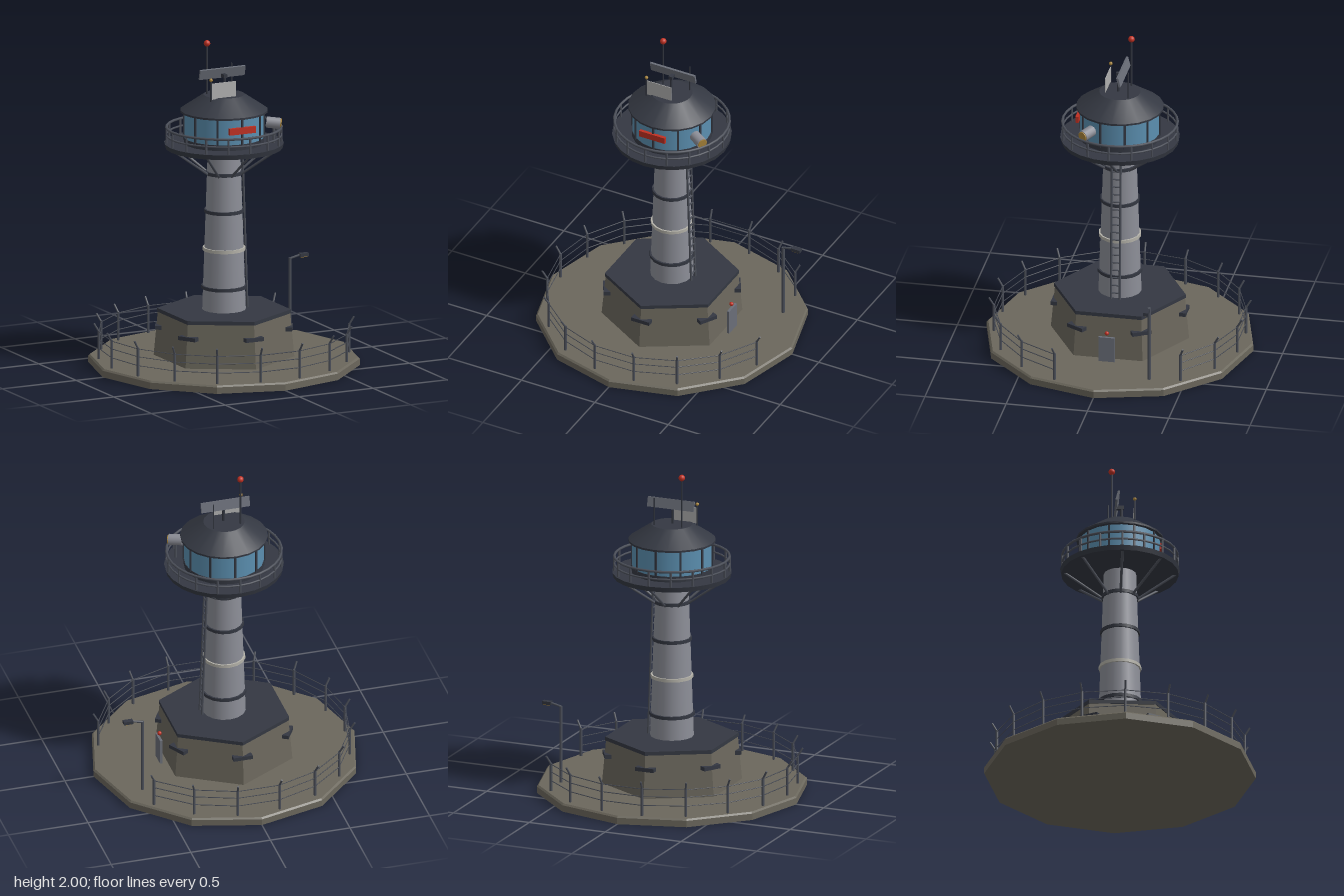
import * as THREE from 'three';

const mat = (color, extra = {}) => new THREE.MeshStandardMaterial({ color, ...extra });
const M = {
  concrete: mat(0x6b675c, { flatShading: true }),
  dark: mat(0x343842), darkFlat: mat(0x343842, { flatShading: true }),
  metal: mat(0x4c505a), tower: mat(0x8c8e97), light: mat(0xb5b3aa),
  door: mat(0x6a6e78), glass: mat(0x5b8fb0), red: mat(0xc03022),
  gold: mat(0xa8843a), panel: mat(0xb0b0b0, { side: THREE.DoubleSide }),
};

export function createModel() {
  const root = new THREE.Group();
  root.name = 'watchTower';

  const add = (name, geo, m, x = 0, y = 0, z = 0, parent = root) => {
    const mesh = new THREE.Mesh(geo, m);
    mesh.name = name;
    mesh.position.set(x, y, z);
    parent.add(mesh);
    return mesh;
  };
  const group = (name) => {
    const g = new THREE.Group();
    g.name = name;
    root.add(g);
    return g;
  };
  const box = (w, h, d) => new THREE.BoxGeometry(w, h, d);
  // Upright frustum between two heights
  const drum = (name, rTop, rBottom, y0, y1, sides, m, parent) =>
    add(name, new THREE.CylinderGeometry(rTop, rBottom, y1 - y0, sides), m, 0, (y0 + y1) / 2, 0, parent);
  // Round bar between two points
  const bar = (name, a, b, r, m, parent, sides = 6) => {
    const p = new THREE.Vector3(...a), q = new THREE.Vector3(...b);
    const mesh = add(name, new THREE.CylinderGeometry(r, r, p.distanceTo(q), sides), m, 0, 0, 0, parent);
    mesh.position.addVectors(p, q).multiplyScalar(0.5);
    mesh.quaternion.setFromUnitVectors(new THREE.Vector3(0, 1, 0), q.sub(p).normalize());
    return mesh;
  };
  const polar = (r, angle, y) => [r * Math.cos(angle), y, r * Math.sin(angle)];
  const ring = (name, r, tube, y, m, parent) => {
    add(name, new THREE.TorusGeometry(r, tube, 6, 32), m, 0, y, 0, parent).rotation.x = Math.PI / 2;
  };

  // Ground slab with a small bevel
  drum('groundSlab', 0.82, 0.82, 0, 0.04, 12, M.concrete);
  drum('groundSlabBevel', 0.81, 0.82, 0.04, 0.05, 12, M.concrete);

  // Perimeter fence, open at the entrance side
  const fence = group('fence');
  const step = Math.PI / 9;
  for (let k = 1; k <= 16; k++) {
    const a = k * step;
    bar('fencePost', polar(0.76, a, 0.05), polar(0.76, a, 0.225), 0.008, M.metal, fence);
    bar('fencePostArm', polar(0.76, a, 0.22), polar(0.79, a, 0.27), 0.006, M.metal, fence);
    if (k < 16) for (const y of [0.115, 0.17, 0.218])
      bar('fenceWire', polar(0.76, a, y), polar(0.76, a + step, y), 0.0028, M.metal, fence, 4);
  }

  // Hexagonal bunker with slits on its corners
  const bunker = group('bunker');
  drum('bunkerWalls', 0.4, 0.425, 0.05, 0.32, 6, M.concrete, bunker);
  drum('bunkerRoof', 0.405, 0.405, 0.317, 0.34, 6, M.darkFlat, bunker);
  for (let i = 0; i < 6; i++) {
    const a = i * Math.PI / 3;
    add('slit', box(0.12, 0.024, 0.04), M.dark, 0.395 * Math.sin(a), 0.23, 0.395 * Math.cos(a), bunker)
      .rotation.y = a;
  }

  // Entrance door and its warning lamp
  add('door', box(0.016, 0.16, 0.1), M.door, 0.408, 0.13, 0);
  add('doorLamp', new THREE.SphereGeometry(0.013, 10, 8), M.red, 0.405, 0.235, 0);

  // Tapered shaft with bands
  drum('shaft', 0.098, 0.132, 0.34, 1.34, 16, M.tower);
  for (const [y, r, m] of [[0.48, 0.138, M.dark], [0.715, 0.129, M.light], [0.95, 0.121, M.dark], [1.185, 0.113, M.dark]])
    drum('shaftBand', r, r, y - 0.01, y + 0.01, 16, m);

  // Ladder leaning along the shaft
  const ladder = group('ladder');
  const ladderX = (y) => 0.145 - (y - 0.34) * 0.035;
  for (const z of [-0.027, 0.027])
    bar('ladderRail', [ladderX(0.34), 0.34, z], [ladderX(1.34), 1.34, z], 0.007, M.metal, ladder);
  for (let y = 0.38; y < 1.33; y += 0.05)
    bar('ladderRung', [ladderX(y), y, -0.027], [ladderX(y), y, 0.027], 0.005, M.metal, ladder);

  // Gallery deck, struts and railing
  const gallery = group('gallery');
  drum('galleryDeck', 0.362, 0.355, 1.34, 1.37, 24, M.dark, gallery);
  for (let i = 0; i < 8; i++) {
    const a = i * Math.PI / 4;
    bar('galleryStrut', polar(0.1, a, 1.175), polar(0.335, a, 1.345), 0.008, M.metal, gallery);
  }
  for (let i = 0; i < 16; i++) {
    const a = i * Math.PI / 8;
    bar('railingPost', polar(0.348, a, 1.36), polar(0.348, a, 1.465), 0.007, M.metal, gallery);
  }
  ring('railingTop', 0.348, 0.008, 1.465, M.metal, gallery);
  ring('railingMiddle', 0.348, 0.006, 1.418, M.metal, gallery);

  // Glazed cabin and roof
  const cabin = group('cabin');
  drum('cabinSill', 0.245, 0.245, 1.37, 1.405, 20, M.dark, cabin);
  drum('cabinGlass', 0.242, 0.242, 1.4, 1.575, 20, M.glass, cabin);
  for (let i = 0; i < 10; i++) {
    const a = i * Math.PI / 5;
    add('mullion', box(0.012, 0.18, 0.014), M.dark, 0.242 * Math.sin(a), 1.485, 0.242 * Math.cos(a), cabin)
      .rotation.y = a;
  }
  drum('roofEave', 0.265, 0.265, 1.562, 1.574, 20, M.dark, cabin);
  drum('roof', 0.125, 0.265, 1.574, 1.668, 20, M.dark, cabin);
  add('frontSign', box(0.175, 0.04, 0.02), M.red, -0.002, 1.492, 0.248, cabin);

  // Searchlight on the front left of the gallery
  const lamp = group('searchlight');
  bar('searchlightStand', [0.26, 1.37, 0.15], [0.26, 1.48, 0.15], 0.008, M.metal, lamp);
  bar('searchlightBody', [0.222, 1.498, 0.128], [0.295, 1.49, 0.17], 0.034, M.tower, lamp, 14);
  bar('searchlightLens', [0.292, 1.49, 0.168], [0.3, 1.489, 0.173], 0.03, M.gold, lamp, 14);

  // Rotating scanner
  const scanner = group('scanner');
  bar('scannerPedestal', [0, 1.66, 0.01], [0, 1.78, 0.01], 0.009, M.dark, scanner, 8);
  add('scannerHub', box(0.022, 0.022, 0.045), M.dark, 0, 1.782, 0, scanner);
  add('scannerBar', box(0.305, 0.062, 0.013), M.door, -0.002, 1.797, -0.02, scanner).rotation.x = 0.25;

  // Roof masts and panel
  const masts = group('roofMasts');
  bar('beaconMast', [-0.088, 1.66, -0.053], [-0.088, 1.98, -0.053], 0.005, M.dark, masts);
  add('beacon', new THREE.SphereGeometry(0.02, 14, 10), M.red, -0.088, 1.98, -0.053, masts);
  bar('whipAntenna', [0.086, 1.65, -0.068], [0.086, 1.838, -0.068], 0.004, M.dark, masts);
  bar('panelPole', [-0.13, 1.65, 0.083], [-0.13, 1.78, 0.083], 0.005, M.dark, masts);
  add('panelPoleKnob', new THREE.SphereGeometry(0.011, 10, 8), M.gold, -0.13, 1.783, 0.083, masts);
  add('roofPanel', box(0.168, 0.1, 0.004), M.panel, -0.045, 1.712, 0.083, masts);

  // Yard lamp
  const yard = group('yardLamp');
  bar('yardLampPost', [0.6, 0.05, -0.3], [0.6, 0.53, -0.3], 0.01, M.metal, yard, 8);
  bar('yardLampArm', [0.6, 0.527, -0.3], [0.67, 0.543, -0.3], 0.007, M.metal, yard);
  add('yardLampHead', box(0.058, 0.02, 0.032), M.dark, 0.69, 0.541, -0.3, yard);
  add('yardLampGlow', box(0.044, 0.006, 0.024), M.gold, 0.69, 0.53, -0.3, yard);

  return root;
}
